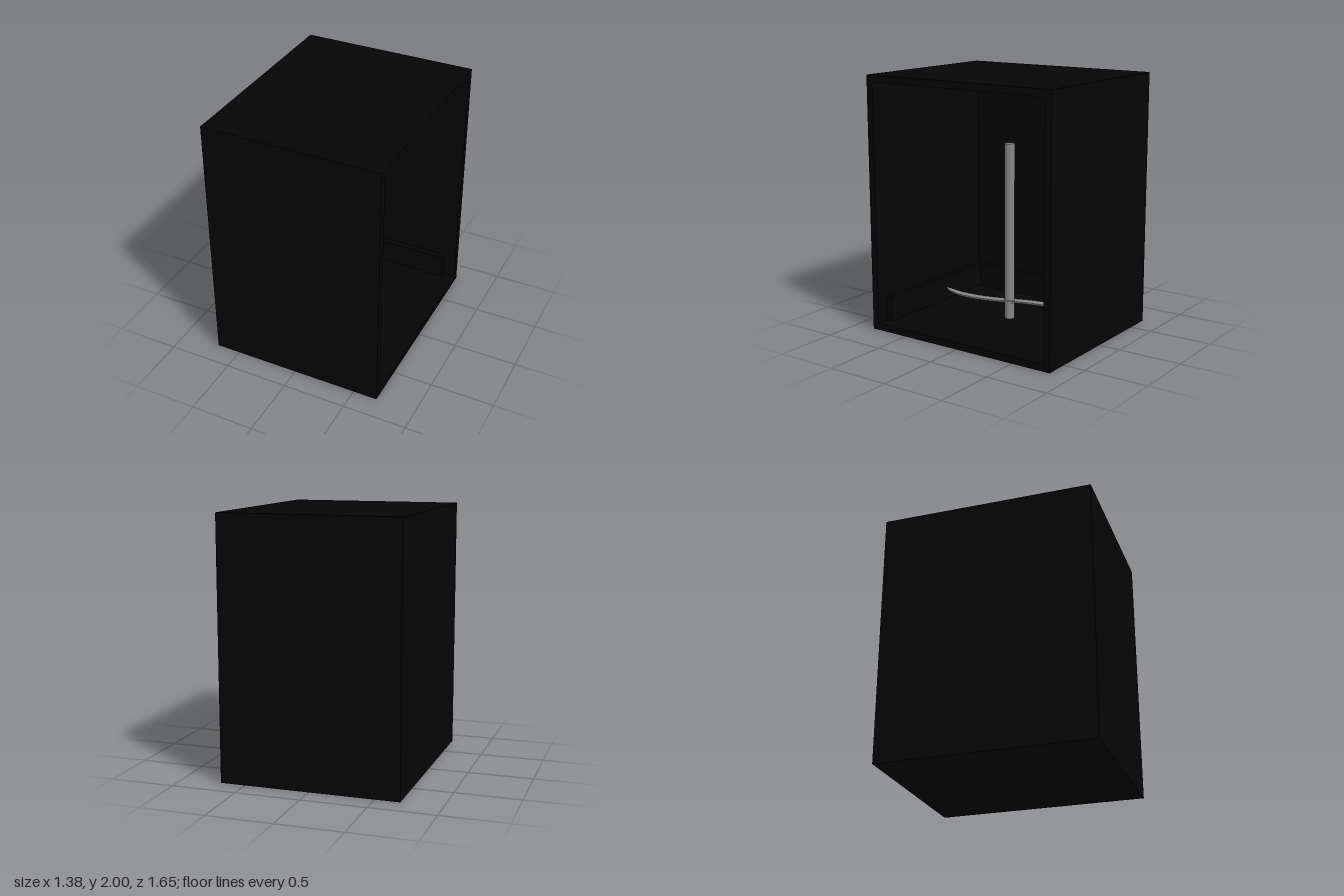
import * as THREE from 'three';

export function createModel() {
  const model = new THREE.Group();
  const black = new THREE.MeshStandardMaterial({ color: 0x050505 });
  const steel = new THREE.MeshStandardMaterial({ color: 0x888888 });

  const add = (name, geometry, material, x, y, z) => {
    const mesh = new THREE.Mesh(geometry, material);
    mesh.name = name;
    mesh.position.set(x, y, z);
    model.add(mesh);
    return mesh;
  };
  const box = (name, w, h, d, x, y, z) =>
    add(name, new THREE.BoxGeometry(w, h, d), black, x, y, z);

  // Cabinet shell, open on its +x side
  const W = 1.38, H = 2, D = 1.65, t = 0.055;
  box('floor', W, t, D, 0, t / 2, 0);
  box('roof', W, t, D, 0, H - t / 2, 0);
  box('closedSide', t, H - 2 * t, D, -W / 2 + t / 2, H / 2, 0);
  for (const s of [1, -1]) {
    box(s > 0 ? 'frontWall' : 'backWall', W - t, H - 2 * t, t, t / 2, H / 2, s * (D - t) / 2);
  }

  // Low skirting round the three inner walls
  const top = 0.25, k = 0.05, inX = -W / 2 + t, endX = 0.59, inZ = D / 2 - t;
  const y = (t + top) / 2, h = top - t;
  box('sideSkirting', k, h, 2 * inZ, inX + k / 2, y, 0);
  for (const s of [1, -1]) {
    box(s > 0 ? 'frontSkirting' : 'backSkirting', endX - inX - k, h, k,
      (inX + k + endX) / 2, y, s * (inZ - k / 2));
  }

  // Upright shaft
  add('shaft', new THREE.CylinderGeometry(0.04, 0.04, 1.405, 32), steel, 0, 0.7625, 0);

  // Two thin curved blades, one the other turned half round
  const outline = new THREE.Shape();
  outline.moveTo(0.04, 0);
  outline.bezierCurveTo(-0.04, 0.18, -0.08, 0.42, 0, 0.635);
  outline.bezierCurveTo(-0.1, 0.54, -0.18, 0.36, -0.04, 0);
  outline.closePath();
  const bladeGeometry = new THREE.ExtrudeGeometry(outline, {
    depth: 0.012, bevelEnabled: false, curveSegments: 20,
  });
  bladeGeometry.rotateX(-Math.PI / 2);
  for (let i = 0; i < 2; i++) {
    add('blade', bladeGeometry, steel, 0, 0.195, 0).rotation.y = i * Math.PI;
  }
  add('hub', new THREE.CylinderGeometry(0.045, 0.045, 0.012, 32), steel, 0, 0.201, 0);

  return model;
}
